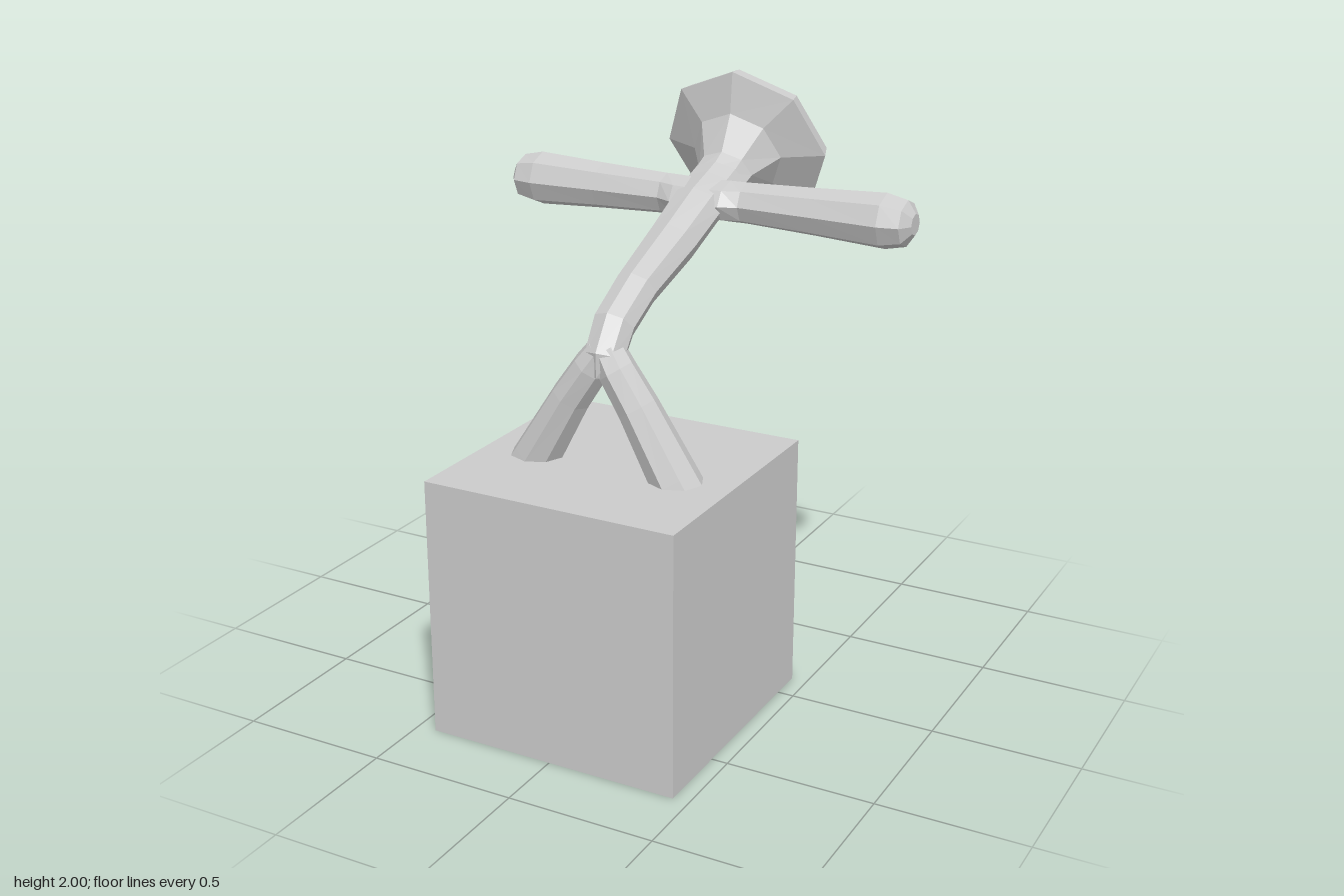
import * as THREE from 'three';

const SIDES = 8;
const material = new THREE.MeshStandardMaterial({ color: 0xcccccc, flatShading: true });

// Closed octagonal loft. Sections are [x, y, z, radius along u, radius across u].
// Rings are square to the path, unless one fixed axis is given.
function loft(name, sections, u, axis) {
  const centres = sections.map(([x, y, z]) => new THREE.Vector3(x, y, z));
  const last = sections.length - 1;
  const rings = sections.map(([, , , ru, rv], i) => {
    const t = axis ?? centres[Math.min(i + 1, last)].clone().sub(centres[Math.max(i - 1, 0)]).normalize();
    const v = t.clone().cross(u).normalize();
    return Array.from({ length: SIDES }, (_, k) => {
      const a = (k / SIDES) * Math.PI * 2;
      return centres[i].clone().addScaledVector(u, ru * Math.cos(a)).addScaledVector(v, rv * Math.sin(a));
    });
  });
  const points = [];
  for (let k = 0; k < SIDES; k++) {
    const n = (k + 1) % SIDES;
    for (let i = 0; i < last; i++) {
      const [a, b, c, d] = [rings[i][k], rings[i][n], rings[i + 1][n], rings[i + 1][k]];
      points.push(a, b, c, a, c, d);
    }
    points.push(centres[0], rings[0][n], rings[0][k]);
    points.push(centres[last], rings[last][k], rings[last][n]);
  }
  const geometry = new THREE.BufferGeometry().setFromPoints(points);
  geometry.computeVertexNormals();
  const mesh = new THREE.Mesh(geometry, material);
  mesh.name = name;
  return mesh;
}

export function createModel() {
  const model = new THREE.Group();
  model.name = 'leaningFigureOnBlock';
  const X = new THREE.Vector3(1, 0, 0);
  const Z = new THREE.Vector3(0, 0, 1);

  // Block under the feet
  const block = new THREE.Mesh(new THREE.BoxGeometry(0.88, 0.88, 0.88), material);
  block.name = 'block';
  block.position.set(0.005, 0.44, 0.325);
  model.add(block);

  // Torso bending backwards from hips to neck
  model.add(loft('torso', [
    [0, 1.19, 0.385, 0.03, 0.055],
    [0, 1.25, 0.383, 0.068, 0.064],
    [0, 1.335, 0.325, 0.072, 0.066],
    [0, 1.415, 0.185, 0.075, 0.066],
    [0, 1.51, -0.06, 0.088, 0.075],
    [0, 1.592, -0.24, 0.095, 0.075],
    [0, 1.625, -0.34, 0.1, 0.075],
    [0, 1.65, -0.4, 0.1, 0.072],
  ], X));

  // Flared head with a flat tilted plate at the back
  const headAxis = new THREE.Vector3(0, 0.375, -0.927).normalize();
  model.add(loft('head', [
    [0, 1.64, -0.38, 0.1, 0.07],
    [0, 1.665, -0.45, 0.1, 0.082],
    [0, 1.715, -0.54, 0.165, 0.157],
    [0, 1.722, -0.607, 0.3, 0.3],
    [0, 1.74, -0.652, 0.285, 0.281],
  ], X, headAxis));

  for (const [side, s] of [['left', 1], ['right', -1]]) {
    // Arm with a bevelled tip
    model.add(loft(side + 'Arm', [
      [0.02 * s, 1.605, -0.305, 0.1, 0.068],
      [0.09 * s, 1.605, -0.307, 0.1, 0.07],
      [0.15 * s, 1.605, -0.31, 0.076, 0.07],
      [0.4 * s, 1.604, -0.312, 0.083, 0.08],
      [0.645 * s, 1.603, -0.313, 0.094, 0.093],
      [0.717 * s, 1.603, -0.313, 0.08, 0.077],
      [0.745 * s, 1.603, -0.313, 0.038, 0.036],
    ], Z));

    // Splayed leg sunk into the block
    model.add(loft(side + 'Leg', [
      [0.275 * s, 0.84, 0.386, 0.088, 0.08],
      [0.25 * s, 0.88, 0.386, 0.087, 0.079],
      [0.12 * s, 1.1, 0.386, 0.074, 0.066],
      [0.045 * s, 1.21, 0.385, 0.066, 0.062],
      [0.005 * s, 1.27, 0.375, 0.06, 0.055],
    ], Z));
  }
  return model;
}
